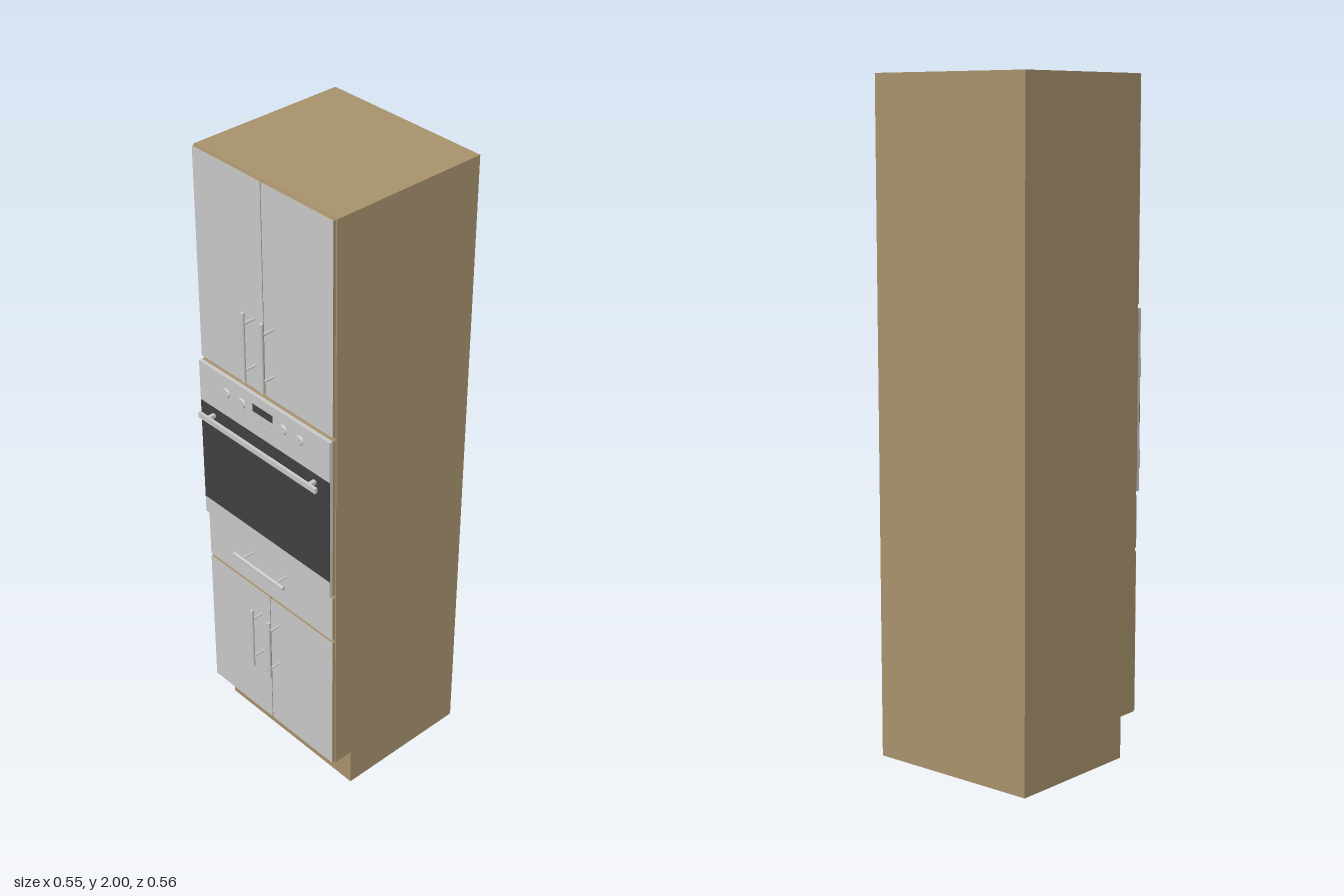
import * as THREE from 'three';

const wood = new THREE.MeshStandardMaterial({ color: 0xa8936d });
wood.name = 'wood';
const steel = new THREE.MeshStandardMaterial({ color: 0xc9c9c9 });
steel.name = 'light grey';
const glass = new THREE.MeshStandardMaterial({ color: 0x404040 });
glass.name = 'dark glass';

const BODY_FRONT = 0.222, DOOR_FRONT = 0.232, OVEN_FRONT = 0.243;

// Box given by its limits on each axis
function box(name, mat, x0, x1, y0, y1, z0, z1) {
  const mesh = new THREE.Mesh(new THREE.BoxGeometry(x1 - x0, y1 - y0, z1 - z0), mat);
  mesh.position.set((x0 + x1) / 2, (y0 + y1) / 2, (z0 + z1) / 2);
  mesh.name = name;
  return mesh;
}

// Wooden slab with a thin grey facing
function frontPanel(name, x0, x1, y0, y1) {
  const g = new THREE.Group();
  g.name = name;
  g.add(box('slab', wood, x0, x1, y0, y1, BODY_FRONT, DOOR_FRONT - 0.001));
  g.add(box('facing', steel, x0, x1, y0, y1, DOOR_FRONT - 0.001, DOOR_FRONT));
  return g;
}

// Round bar on two posts, built upright around its own centre
function barHandle(name, length, postGap) {
  const g = new THREE.Group();
  g.name = name;
  const bar = new THREE.Mesh(new THREE.CylinderGeometry(0.006, 0.006, length, 16), steel);
  bar.name = 'bar';
  bar.position.z = 0.273;
  g.add(bar);
  for (const s of [-1, 1]) {
    const post = new THREE.Mesh(new THREE.CylinderGeometry(0.004, 0.004, 0.041, 12), steel);
    post.name = 'post';
    post.rotation.x = Math.PI / 2;
    post.position.set(0, s * postGap / 2, 0.2525);
    g.add(post);
  }
  return g;
}

function createOven() {
  const g = new THREE.Group();
  g.name = 'oven';
  const w = 0.272;
  g.add(box('ovenBacking', wood, -w, w, 0.795, 1.333, BODY_FRONT, 0.231));
  g.add(box('controlPanel', steel, -w, w, 1.201, 1.333, 0.231, OVEN_FRONT));
  g.add(box('doorFrame', steel, -w, w, 0.795, 1.201, 0.231, OVEN_FRONT - 0.001));
  g.add(box('lowerPanel', steel, -w, w, 0.795, 0.852, OVEN_FRONT - 0.001, OVEN_FRONT));
  g.add(box('window', glass, -w, w, 0.852, 1.201, OVEN_FRONT - 0.001, OVEN_FRONT));

  // Display and the small buttons under it
  g.add(box('display', glass, -0.042, 0.042, 1.278, 1.302, OVEN_FRONT, OVEN_FRONT + 0.001));
  for (const x of [-0.024, -0.008, 0.008, 0.024]) {
    g.add(box('button', steel, x - 0.004, x + 0.004, 1.256, 1.262, OVEN_FRONT, OVEN_FRONT + 0.002));
  }
  for (const x of [-0.155, -0.088, 0.085, 0.152]) {
    const knob = new THREE.Mesh(new THREE.CylinderGeometry(0.013, 0.016, 0.004, 24), steel);
    knob.name = 'knob';
    knob.rotation.x = Math.PI / 2;
    knob.position.set(x, 1.28, OVEN_FRONT + 0.002);
    g.add(knob);
  }

  // Wide flat handle
  g.add(box('ovenHandleBar', steel, -0.247, 0.247, 1.165, 1.182, 0.265, 0.274));
  for (const x of [-0.213, 0.213]) {
    g.add(box('ovenHandlePost', steel, x - 0.006, x + 0.006, 1.168, 1.179, OVEN_FRONT, 0.265));
  }
  return g;
}

export function createModel() {
  const model = new THREE.Group();
  model.name = 'ovenCabinet';

  // Carcass in side profile, with the toe recess at the front
  const profile = new THREE.Shape();
  [[-0.283, 0], [0.158, 0], [0.158, 0.127], [BODY_FRONT, 0.127], [BODY_FRONT, 2], [-0.283, 2]]
    .forEach(([z, y], i) => (i ? profile.lineTo(-z, y) : profile.moveTo(-z, y)));
  const geo = new THREE.ExtrudeGeometry(profile, { depth: 0.552, bevelEnabled: false });
  geo.translate(0, 0, -0.276);
  geo.rotateY(Math.PI / 2);
  const carcass = new THREE.Mesh(geo, wood);
  carcass.name = 'carcass';
  model.add(carcass);

  // Two pairs of doors: bottom, top, handle centre, post spacing
  for (const [label, y0, y1, hy, gap] of [
    ['upper', 1.345, 1.998, 1.5, 0.149],
    ['lower', 0.129, 0.615, 0.457, 0.149],
  ]) {
    for (const [side, s] of [['Right', -1], ['Left', 1]]) {
      const a = s * 0.0015, b = s * 0.272;
      model.add(frontPanel(label + side + 'Door', Math.min(a, b), Math.max(a, b), y0, y1));
      const handle = barHandle(label + side + 'Handle', 0.22, gap);
      handle.position.set(s * 0.038, hy, 0);
      model.add(handle);
    }
  }

  // Drawer between the oven and the lower doors
  model.add(frontPanel('drawer', -0.272, 0.272, 0.626, 0.783));
  const drawerHandle = barHandle('drawerHandle', 0.22, 0.149);
  drawerHandle.rotation.z = Math.PI / 2;
  drawerHandle.position.y = 0.745;
  model.add(drawerHandle);

  model.add(createOven());
  return model;
}
